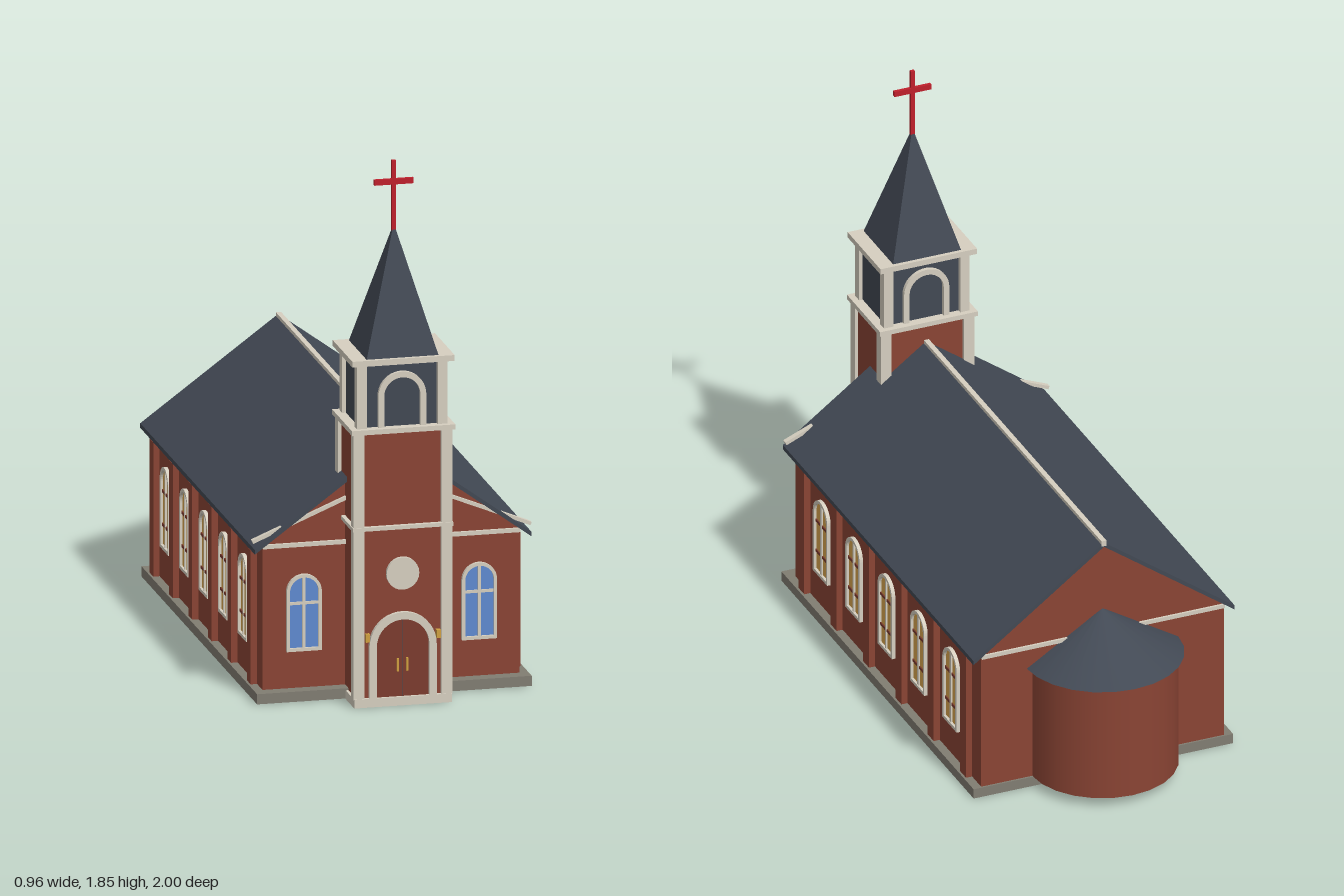
import * as THREE from 'three';

const material = (name, color, side = THREE.FrontSide) => {
  const m = new THREE.MeshStandardMaterial({ color, side });
  m.name = name;
  return m;
};

export function createModel() {
  const brick = material('brick', 0x8a4434);
  const slate = material('slate', 0x424954);
  const trim = material('stone trim', 0xd6cfc0);
  const stone = material('foundation stone', 0x817d72);
  const amber = material('amber glass', 0xdca850);
  const blue = material('blue glass', 0x5f8ad0);
  const red = material('cross red', 0xc0202c);
  const wood = material('door wood', 0x7c3c2e);
  const gold = material('brass', 0xd0a040);

  const model = new THREE.Group();
  model.name = 'church';

  const add = (parent, name, geometry, mat, x = 0, y = 0, z = 0) => {
    const mesh = new THREE.Mesh(geometry, mat);
    mesh.name = name;
    mesh.position.set(x, y, z);
    parent.add(mesh);
    return mesh;
  };
  // box given by its extents
  const box = (parent, name, mat, x0, x1, y0, y1, z0, z1) =>
    add(parent, name, new THREE.BoxGeometry(x1 - x0, y1 - y0, z1 - z0), mat,
      (x0 + x1) / 2, (y0 + y1) / 2, (z0 + z1) / 2);
  const group = (name, parent = model) => {
    const g = new THREE.Group();
    g.name = name;
    parent.add(g);
    return g;
  };
  const extrude = (shape, depth) =>
    new THREE.ExtrudeGeometry(shape, { depth, bevelEnabled: false, curveSegments: 10 });
  const polygon = (pts) => new THREE.Shape(pts.map(([x, y]) => new THREE.Vector2(x, y)));

  // round-headed outline standing on y0
  const trace = (path, half, y0, top) => {
    path.moveTo(-half, y0);
    path.lineTo(half, y0);
    path.lineTo(half, top - half);
    path.absarc(0, top - half, half, 0, Math.PI, false);
    path.lineTo(-half, y0);
    return path;
  };
  const archPlate = (half, y0, top, depth) =>
    extrude(trace(new THREE.Shape(), half, y0, top), depth);
  const archFrame = (half, y0, top, t, depth, sill = t) => {
    const shape = trace(new THREE.Shape(), half, y0, top);
    if (sill > 0) {
      shape.holes.push(trace(new THREE.Path(), half - t, y0 + sill, top - t));
      return extrude(shape, depth);
    }
    const open = new THREE.Shape();
    open.moveTo(half, y0);
    open.lineTo(half, top - half);
    open.absarc(0, top - half, half, 0, Math.PI, false);
    open.lineTo(-half, y0);
    open.lineTo(-half + t, y0);
    open.lineTo(-half + t, top - half);
    open.absarc(0, top - half, half - t, Math.PI, 0, true);
    open.lineTo(half - t, y0);
    return extrude(open, depth);
  };

  // arched window facing +z
  const window_ = (name, glass, y0, top, bars, barMat) => {
    const g = group(name);
    add(g, 'glass', archPlate(0.056, y0 + 0.004, top - 0.004, 0.005), glass);
    add(g, 'frame', archFrame(0.06, y0, top, 0.011, 0.014), trim);
    box(g, 'mullion', trim, -0.005, 0.005, y0, top - 0.005, 0, 0.011);
    for (const y of bars) box(g, 'crossbar', barMat, -0.05, 0.05, y - 0.005, y + 0.005, 0, 0.009);
    return g;
  };

  // foundation
  box(model, 'foundation', stone, -0.47, 0.47, 0.002, 0.037, -0.737, 0.867);
  box(model, 'towerPlinth', trim, -0.167, 0.167, 0, 0.03, 0.73, 0.987);

  // nave with gables
  const naveShape = polygon([[-0.44, 0.036], [0.44, 0.036], [0.44, 0.536], [0, 0.858], [-0.44, 0.536]]);
  add(model, 'nave', extrude(naveShape, 1.55), brick, 0, 0, -0.73);
  const roofShape = polygon([[-0.473, 0.514], [0, 0.86], [0.473, 0.514], [0.473, 0.53], [0, 0.876], [-0.473, 0.53]]);
  add(model, 'naveRoof', extrude(roofShape, 1.59), slate, 0, 0, -0.742);
  box(model, 'ridgeCap', trim, -0.009, 0.009, 0.862, 0.882, -0.742, 0.74);

  // side walls: pilasters and windows
  for (const s of [-1, 1]) {
    const side = s > 0 ? 'left' : 'right';
    for (let i = 0; i < 6; i++) {
      const z = 0.72 - 0.27 * i;
      add(model, side + 'Pilaster', new THREE.BoxGeometry(0.04, 0.464, 0.05), brick, s * 0.442, 0.268, z);
    }
    for (let i = 0; i < 5; i++) {
      const w = window_(side + 'Window', amber, 0.155, 0.443, [0.235, 0.35], wood);
      w.position.set(s * 0.439, 0, 0.585 - 0.27 * i);
      w.rotation.y = s * Math.PI / 2;
    }
    // facade window, string course and sloped rake board
    const f = window_(side + 'FacadeWindow', blue, 0.165, 0.43, [0.33], trim);
    f.position.set(s * 0.3, 0, 0.819);
    box(model, side + 'StringCourse', trim, s > 0 ? 0.15 : -0.44, s > 0 ? 0.44 : -0.15, 0.525, 0.539, 0.815, 0.83);
    const rake = add(model, side + 'Rake', new THREE.BoxGeometry(0.36, 0.012, 0.018), trim, s * 0.31, 0.621, 0.823);
    rake.rotation.z = -s * 0.39;
  }
  box(model, 'backStringCourse', trim, -0.44, 0.44, 0.525, 0.539, -0.738, -0.72);

  // apse
  const halfRound = (r0, r1, h) => new THREE.CylinderGeometry(r0, r1, h, 12, 1, false, Math.PI / 2, Math.PI);
  add(model, 'apse', halfRound(0.255, 0.255, 0.415), brick, 0, 0.2435, -0.727);
  add(model, 'apseRoof', halfRound(0.001, 0.275, 0.17), slate, 0, 0.535, -0.725);

  // tower
  const tower = group('tower');
  tower.position.z = 0.857;
  const corners = (name, hx, hz, size, y0, y1) => {
    for (const sx of [-1, 1]) for (const sz of [-1, 1])
      add(tower, name, new THREE.BoxGeometry(size, y1 - y0, size), trim,
        sx * (hx - size / 2), (y0 + y1) / 2, sz * (hz - size / 2));
  };
  box(tower, 'towerShaft', brick, -0.157, 0.157, 0.03, 0.95, -0.116, 0.116);
  corners('towerPillar', 0.169, 0.128, 0.037, 0.028, 0.946);
  box(tower, 'towerBelt', trim, -0.172, 0.172, 0.609, 0.622, -0.132, 0.132);
  box(tower, 'lowerCornice', trim, -0.177, 0.177, 0.944, 0.961, -0.139, 0.139);
  box(tower, 'belfry', slate, -0.142, 0.142, 0.96, 1.18, -0.106, 0.106);
  corners('belfryPillar', 0.155, 0.121, 0.034, 0.96, 1.18);
  box(tower, 'upperCornice', trim, -0.175, 0.175, 1.18, 1.2, -0.137, 0.137);
  for (const s of [1, -1]) {
    const arch = add(tower, 'belfryArch', archFrame(0.082, 0.961, 1.15, 0.02, 0.016, 0), trim, 0, 0, s * 0.104);
    if (s < 0) arch.rotation.y = Math.PI;
  }

  // spire and cross
  const spire = new THREE.ConeGeometry(0.123 * Math.SQRT2, 0.43, 4, 1).rotateY(Math.PI / 4).toNonIndexed();
  spire.computeVertexNormals();
  add(tower, 'spire', spire, slate, 0, 1.415, 0);
  box(tower, 'crossPost', red, -0.007, 0.007, 1.6, 1.848, -0.006, 0.006);
  box(tower, 'crossArm', red, -0.067, 0.067, 1.765, 1.784, -0.006, 0.006);

  // entrance
  const door = group('entrance', tower);
  door.position.z = 0.115;
  add(door, 'door', archPlate(0.095, 0.03, 0.302, 0.005), wood);
  add(door, 'doorFrame', archFrame(0.115, 0.03, 0.322, 0.025, 0.016, 0), trim);
  box(door, 'doorSeam', slate, -0.001, 0.001, 0.03, 0.298, 0, 0.006);
  for (const s of [-1, 1]) {
    add(door, 'doorHandle', new THREE.BoxGeometry(0.007, 0.045, 0.008), gold, s * 0.016, 0.14, 0.008);
    add(door, 'lantern', new THREE.BoxGeometry(0.014, 0.028, 0.016), gold, s * 0.121, 0.24, 0.012);
  }
  add(door, 'roundWindow', new THREE.CylinderGeometry(0.056, 0.056, 0.014, 24).rotateX(Math.PI / 2), trim, 0, 0.455, 0.007);

  return model;
}
